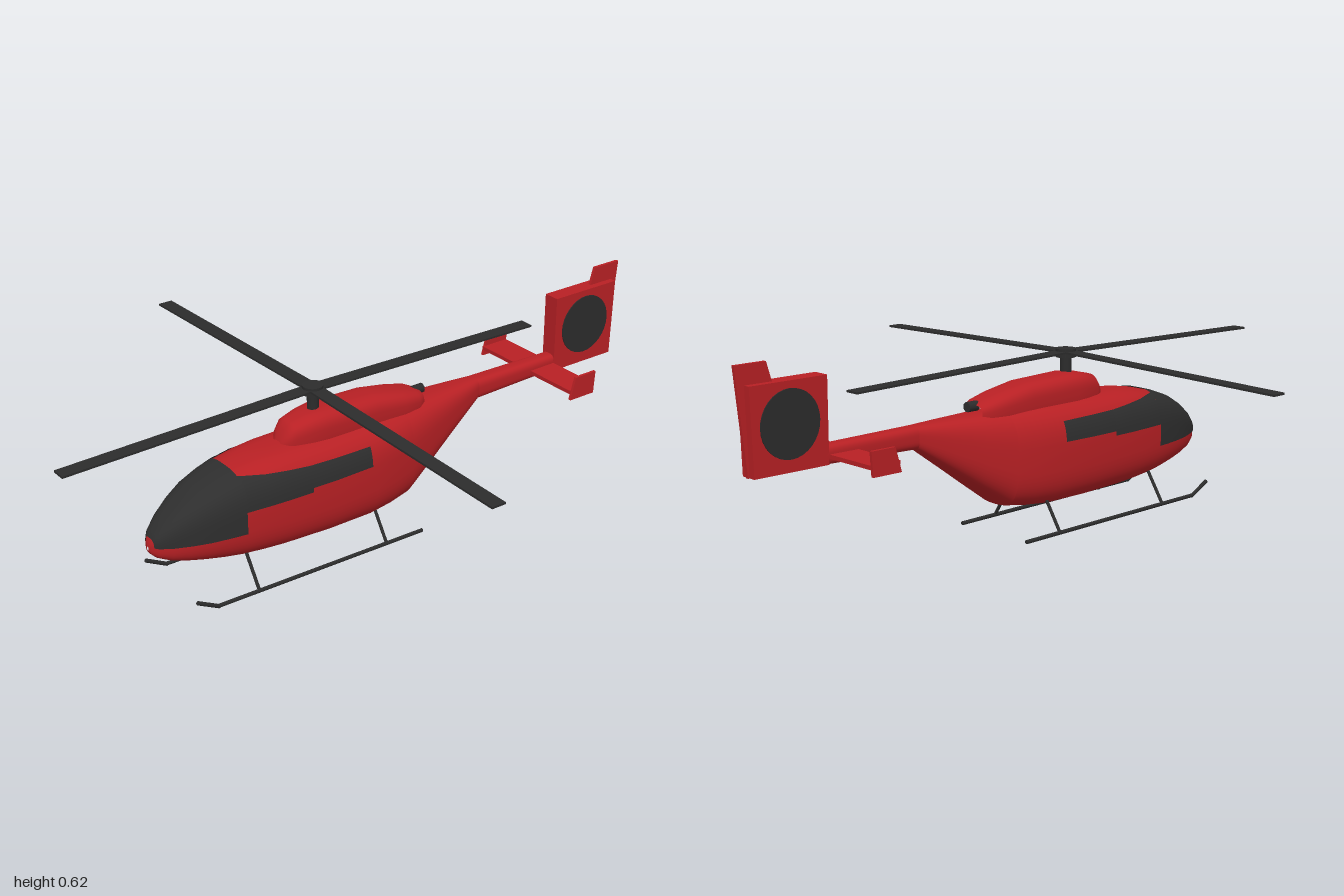
import * as THREE from 'three';

const red = new THREE.MeshStandardMaterial({ name: 'red paint', color: 0xb82024 });
const dark = new THREE.MeshStandardMaterial({ name: 'dark grey', color: 0x2c2c2c });
const darkGlass = new THREE.MeshStandardMaterial({ name: 'dark glass', color: 0x2e2e2e, side: THREE.DoubleSide });

// Cross-sections: x, bottom y, top y, half width
const BODY = [
  [-0.752, 0.18, 0.192, 0.004], [-0.748, 0.17, 0.21, 0.018], [-0.735, 0.157, 0.232, 0.034],
  [-0.70, 0.14, 0.266, 0.055], [-0.65, 0.126, 0.302, 0.076], [-0.6, 0.115, 0.33, 0.092],
  [-0.54, 0.103, 0.352, 0.104], [-0.49, 0.095, 0.365, 0.112], [-0.42, 0.088, 0.376, 0.119],
  [-0.35, 0.083, 0.381, 0.124], [-0.2, 0.078, 0.382, 0.129], [-0.05, 0.077, 0.382, 0.126],
  [0.03, 0.084, 0.382, 0.117], [0.1, 0.095, 0.381, 0.104],
];
const TAIL_CONE = [
  [0.1, 0.095, 0.381, 0.104], [0.2, 0.164, 0.38, 0.081], [0.3, 0.234, 0.379, 0.057], [0.41, 0.31, 0.377, 0.031],
];
const BOOM = [[0.41, 0.31, 0.377, 0.031], [0.73, 0.318, 0.373, 0.026]];
const COWL = [
  [-0.315, 0.34, 0.385, 0.022], [-0.30, 0.335, 0.415, 0.04], [-0.28, 0.33, 0.438, 0.05], [-0.23, 0.33, 0.45, 0.06],
  [-0.18, 0.33, 0.456, 0.066], [0, 0.33, 0.45, 0.066], [0.1, 0.33, 0.432, 0.064], [0.16, 0.335, 0.417, 0.056],
  [0.185, 0.345, 0.405, 0.042],
];

// Linear lookup of a cross-section at x
function sectionAt(list, x) {
  let i = 0;
  while (i < list.length - 2 && x > list[i + 1][0]) i++;
  const a = list[i], b = list[i + 1];
  const k = (x - a[0]) / (b[0] - a[0]);
  return a.map((v, n) => v + (b[n] - v) * k);
}

// Point on a rounded-box section at angle t, pushed out by grow
function sectionPoint([x, lo, hi, w], t, n, grow = 0) {
  const bulge = (v) => Math.sign(v) * Math.abs(v) ** (2 / n);
  return [x, (lo + hi) / 2 + ((hi - lo) / 2 + grow) * bulge(Math.sin(t)), (w + grow) * bulge(Math.cos(t))];
}

function gridGeometry(points, index) {
  const g = new THREE.BufferGeometry();
  g.setAttribute('position', new THREE.Float32BufferAttribute(points, 3));
  g.setIndex(index);
  g.computeVertexNormals();
  return g;
}

// Closed skin through a list of sections, with flat ends
function loft(list, n, segs = 48) {
  const pts = [], idx = [];
  const ring = (s) => {
    for (let j = 0; j < segs; j++) pts.push(...sectionPoint(s, (j / segs) * Math.PI * 2, n));
  };
  list.forEach(ring);
  for (let i = 0; i < list.length - 1; i++) {
    for (let j = 0; j < segs; j++) {
      const k = (j + 1) % segs, a = i * segs, b = a + segs;
      idx.push(a + j, b + j, b + k, a + j, b + k, a + k);
    }
  }
  for (const end of [0, list.length - 1]) {
    const s = list[end], base = pts.length / 3;
    ring(s);
    pts.push(s[0], (s[1] + s[2]) / 2, 0);
    for (let j = 0; j < segs; j++) {
      const p = base + j, q = base + ((j + 1) % segs), c = base + segs;
      idx.push(...(end ? [c, p, q] : [c, q, p]));
    }
  }
  return gridGeometry(pts, idx);
}

// Glass patch lying on the body from x0 to x1; range(section) gives its two edge angles
function patch(x0, x1, range, segs) {
  const xs = [x0, ...BODY.map((s) => s[0]).filter((x) => x > x0 && x < x1), x1];
  const pts = [], idx = [], row = segs + 1;
  xs.forEach((x, i) => {
    const s = sectionAt(BODY, x), [t0, t1] = range(s);
    for (let j = 0; j <= segs; j++) {
      pts.push(...sectionPoint(s, t0 + ((t1 - t0) * j) / segs, 3, 0.003));
      if (i && j) {
        const c = i * row + j, b = c - 1, d = c - row, a = d - 1;
        idx.push(a, b, c, a, c, d);
      }
    }
  });
  return gridGeometry(pts, idx);
}

// Section angle at height y
function angleAt([, lo, hi], y) {
  const v = THREE.MathUtils.clamp((y - (lo + hi) / 2) / ((hi - lo) / 2), -1, 1);
  return Math.asin(Math.sign(v) * Math.abs(v) ** 1.5);
}

// Flat plate from an xy outline, centred on z
function plate(outline, depth) {
  const shape = new THREE.Shape(outline.map(([x, y]) => new THREE.Vector2(x, y)));
  return new THREE.ExtrudeGeometry(shape, { depth, bevelEnabled: false }).translate(0, 0, -depth / 2);
}

// Round bar between two points
function bar(a, b, r) {
  const p = new THREE.Vector3(...a), q = new THREE.Vector3(...b), dir = q.clone().sub(p);
  const g = new THREE.CylinderGeometry(r, r, dir.length(), 10);
  g.applyQuaternion(new THREE.Quaternion().setFromUnitVectors(new THREE.Vector3(0, 1, 0), dir.normalize()));
  return g.translate(...p.add(q).multiplyScalar(0.5).toArray());
}

export function createModel() {
  const model = new THREE.Group();
  model.name = 'helicopter';
  const add = (name, geometry, material, parent = model) => {
    const m = new THREE.Mesh(geometry, material);
    m.name = name;
    parent.add(m);
    return m;
  };

  // Body
  add('fuselage', loft(BODY, 3), red);
  add('tailCone', loft(TAIL_CONE, 3), red);
  add('tailBoom', loft(BOOM, 3), red);
  add('engineCowling', loft(COWL, 3), red);
  add('exhaust', bar([0.17, 0.4, 0], [0.208, 0.4, 0], 0.015), dark);

  // Windscreen and stepped side windows
  add('windscreen', patch(-0.745, -0.495, (s) => {
    const t = angleAt(s, 0.195);
    return [t, Math.PI - t];
  }, 40), darkGlass);
  const panes = [[-0.495, -0.28, 0.262, 0.355, 0.338], [-0.28, -0.07, 0.275, 0.338, 0.334]];
  for (const [x0, x1, low, highA, highB] of panes) {
    const edges = (s) => [angleAt(s, low), angleAt(s, highA + ((highB - highA) * (s[0] - x0)) / (x1 - x0))];
    add('leftWindow', patch(x0, x1, edges, 10), darkGlass);
    add('rightWindow', patch(x0, x1, (s) => edges(s).map((t) => Math.PI - t).reverse(), 10), darkGlass);
  }

  // Main rotor
  const rotor = new THREE.Group();
  rotor.name = 'mainRotor';
  rotor.position.x = -0.19;
  model.add(rotor);
  add('mast', bar([0, 0.44, 0], [0, 0.51, 0], 0.018), dark, rotor);
  add('hub', new THREE.CylinderGeometry(0.031, 0.031, 0.026, 24).translate(0, 0.512, 0), dark, rotor);
  for (let i = 0; i < 4; i++) {
    const blade = add('blade', new THREE.BoxGeometry(0.8, 0.006, 0.045).translate(0.41, 0, 0), dark, rotor);
    blade.position.y = 0.515;
    blade.rotation.set(0, (i * Math.PI) / 2, -0.019);
  }

  // Tail fin with enclosed fan
  add('fanHousing', plate([[0.72, 0.32], [0.96, 0.32], [0.968, 0.565], [0.72, 0.565]], 0.052), red);
  add('finBlade', plate([[0.9, 0.32], [0.965, 0.32], [0.997, 0.62], [0.898, 0.62], [0.88, 0.56]], 0.01), red);
  const fan = new THREE.CylinderGeometry(0.095, 0.095, 0.058, 32).rotateX(Math.PI / 2);
  add('fanDisc', fan.translate(0.843, 0.45, 0), dark);

  // Horizontal stabiliser
  add('stabiliser', new THREE.BoxGeometry(0.096, 0.012, 0.41).translate(0.67, 0.342, 0), red);

  // Mirrored end plates and landing skids
  for (const side of [1, -1]) {
    const end = plate([[0.622, 0.317], [0.717, 0.317], [0.722, 0.388], [0.642, 0.388]], 0.009);
    add('endPlate', end.translate(0, 0, side * 0.206), red);
    const z = side * 0.14;
    add('skid', bar([-0.62, 0.019, z], [0.105, 0.008, z], 0.006), dark);
    add('skidTip', bar([-0.615, 0.017, z], [-0.685, 0.054, z], 0.006), dark);
    for (const x of [-0.48, -0.03]) {
      add('skidLeg', bar([x, 0.013, z], [x, 0.12, side * 0.07], 0.005), dark);
    }
  }
  return model;
}
